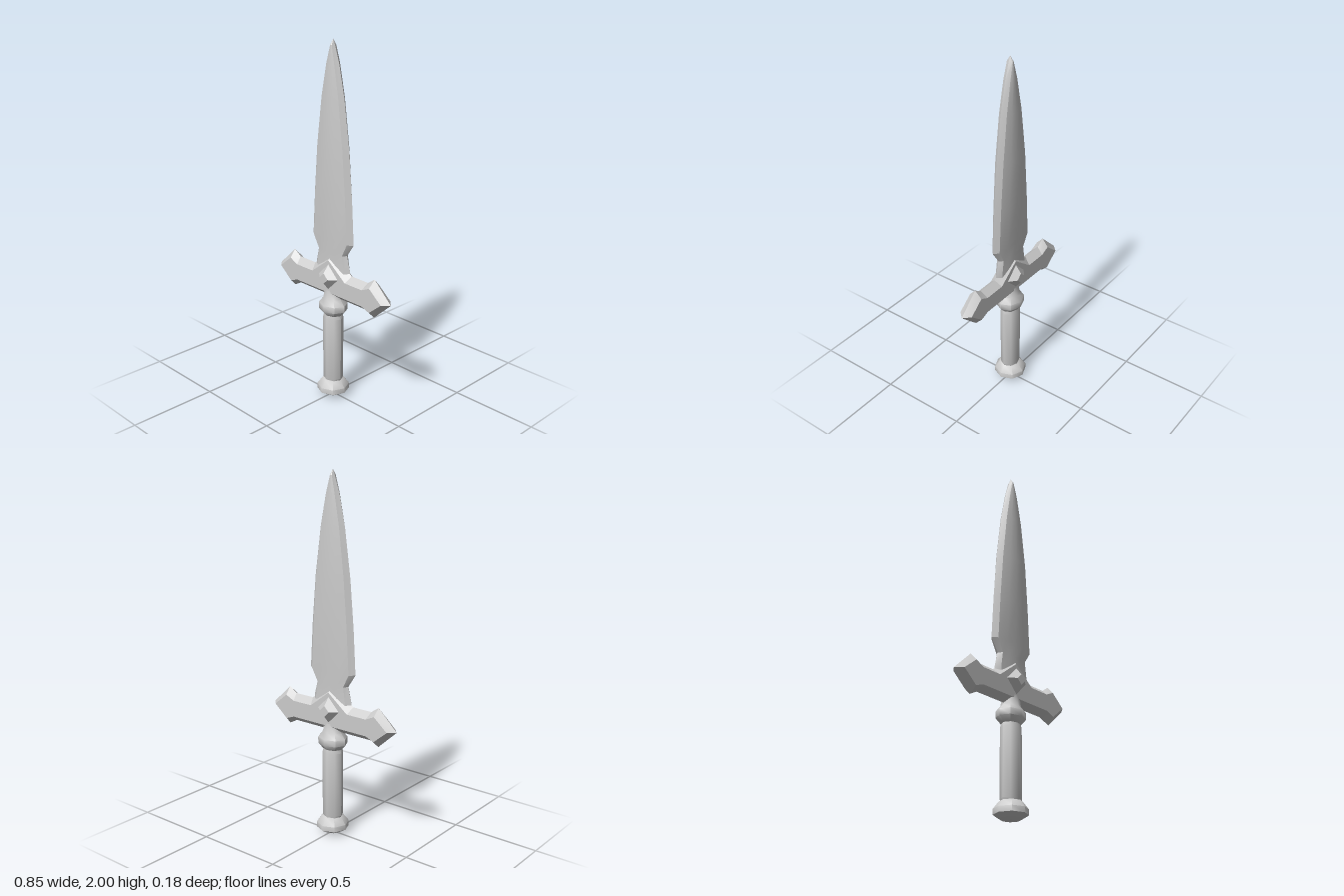
import * as THREE from 'three';
import { toCreasedNormals } from 'three/addons/utils/BufferGeometryUtils.js';

const material = new THREE.MeshStandardMaterial({ color: 0xcccccc });

// Skins a stack of equal-length rings; capped ends are flat in z.
function loft(rings, capped, crease) {
  const n = rings[0].length;
  const index = [];
  for (let i = 0; i < rings.length - 1; i++) {
    for (let j = 0; j < n; j++) {
      const a = i * n + j, b = i * n + (j + 1) % n;
      index.push(a, b, b + n, a, b + n, a + n);
    }
  }
  if (capped) {
    const last = (rings.length - 1) * n;
    const outline = rings[0].map(([x, y]) => new THREE.Vector2(x, y));
    for (const [a, b, c] of THREE.ShapeUtils.triangulateShape(outline, [])) {
      index.push(c, b, a, a + last, b + last, c + last);
    }
  }
  const geo = new THREE.BufferGeometry();
  geo.setAttribute('position', new THREE.Float32BufferAttribute(rings.flat(2), 3));
  geo.setIndex(index);
  return toCreasedNormals(geo, crease);
}

function part(name, geometry, parent) {
  const mesh = new THREE.Mesh(geometry, material);
  mesh.name = name;
  parent.add(mesh);
  return mesh;
}

// Eight-sided turned part with softened facets
function turned(profile, depth) {
  const geo = new THREE.LatheGeometry(profile.map(p => new THREE.Vector2(...p)), 8);
  geo.deleteAttribute('normal');
  geo.deleteAttribute('uv');
  geo.scale(1, 1, depth);
  return toCreasedNormals(geo, 0.9);
}

export function createModel() {
  const model = new THREE.Group();
  model.name = 'dagger';

  // Blade stations: y, edge x, bevel x, bevel z, centre z
  const stations = [
    [0.70, 0.13, 0.10, 0.022, 0.03],
    [0.783, 0.127, 0.10, 0.022, 0.03],
    [0.868, 0.105, 0.088, 0.022, 0.031],
    [0.94, 0.153, 0.125, 0.024, 0.034],
    [1.185, 0.139, 0.112, 0.025, 0.041],
    [1.45, 0.116, 0.092, 0.026, 0.044],
    [1.71, 0.08, 0.06, 0.024, 0.036],
    [1.88, 0.043, 0.028, 0.021, 0.027],
    [1.97, 0.013, 0.006, 0.016, 0.019],
    [2.00, 0, 0, 0, 0],
  ];
  const bladeRings = stations.map(([y, edge, bx, bz, cz]) => {
    const mid = bz + (cz - bz) * 0.75;
    const front = [[0, cz], [bx / 2, mid], [bx, bz], [edge, 0], [bx, -bz], [bx / 2, -mid]];
    const back = front.map(([x, z]) => [-x, -z]);
    return [...front, ...back].map(([x, z]) => [x, y, z]);
  });
  part('blade', loft(bladeRings, false, 0.35), model);

  // Guard outline, right half: rim x, y, then inset face x, y
  const half = [
    [0.26, 0.603, 0.25, 0.635],
    [0.307, 0.577, 0.303, 0.615],
    [0.423, 0.683, 0.386, 0.684],
    [0.307, 0.794, 0.303, 0.753],
    [0.26, 0.762, 0.25, 0.728],
    [0.14, 0.762, 0.125, 0.728],
  ];
  const outline = [
    ...half,
    [0, 0.862, 0, 0.825],
    ...half.slice().reverse().map(([a, b, c, d]) => [-a, b, -c, d]),
  ];
  const face = z => outline.map(p => [p[2], p[3], z]);
  const rim = outline.map(p => [p[0], p[1], 0]);
  part('guard', loft([face(-0.038), rim, face(0.038)], true, 0.3), model);

  // Cut gem running through the guard
  const diamond = (r, z) => [[r, 0, z], [0, r, z], [-r, 0, z], [0, -r, z]];
  const gemRings = [
    diamond(0.03, -0.073), diamond(0.073, -0.037), diamond(0.073, 0.037), diamond(0.03, 0.073),
  ];
  part('gem', loft(gemRings, true, 0.1), model).position.y = 0.728;

  // Grip, collar and pommel
  part('grip', turned([
    [0.05, 0.08], [0.06, 0.11], [0.06, 0.48], [0.052, 0.51],
  ], 0.87), model);
  part('collar', turned([
    [0, 0.50], [0.058, 0.50], [0.086, 0.53], [0.086, 0.565], [0.058, 0.597], [0.05, 0.65],
  ], 0.85), model);
  part('pommel', turned([
    [0, 0], [0.053, 0.01], [0.09, 0.033], [0.09, 0.062], [0.06, 0.1], [0, 0.104],
  ], 1), model);

  return model;
}
